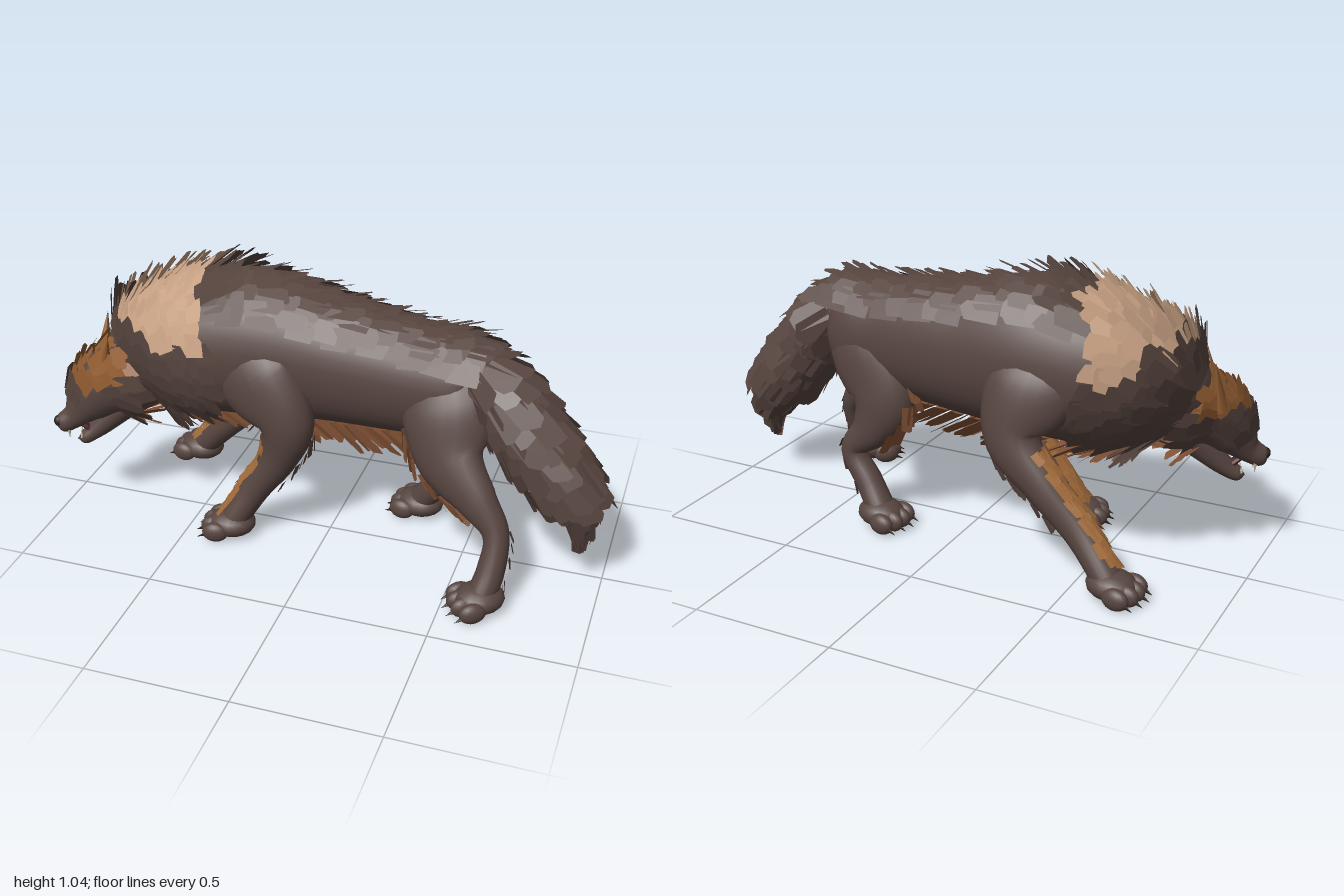
import * as THREE from 'three';

const paint = (name, color, side = THREE.FrontSide) => {
  const m = new THREE.MeshStandardMaterial({ color, side });
  m.name = name;
  return m;
};
const mats = {
  brown: paint('brown hide', 0x574540),
  fur: paint('brown fur', 0x56443e, THREE.DoubleSide),
  tan: paint('tan fur', 0xcba486, THREE.DoubleSide),
  orange: paint('orange fur', 0x8f5b30, THREE.DoubleSide),
  amber: paint('amber fur', 0xa06a3a, THREE.DoubleSide),
  russet: paint('russet fur', 0x845336, THREE.DoubleSide),
  dark: paint('dark claw', 0x2b2220),
  mouth: paint('mouth red', 0x4c2623),
  ivory: paint('ivory tooth', 0xcfc2a8),
};

let seed = 7;
const jit = (s) => ((seed = (seed * 16807) % 2147483647) / 2147483647 - 0.5) * 2 * s;
const V = (x, y, z) => new THREE.Vector3(x, y, z);

function add(parent, name, geo, mat) {
  const m = new THREE.Mesh(geo, mat);
  m.name = name;
  parent.add(m);
  return m;
}

// Smooth surface along a path of points, with [half width, half depth] at each
function surface(points, radii) {
  const path = new THREE.CatmullRomCurve3(points.map((p) => V(...p)));
  const size = new THREE.CatmullRomCurve3(radii.map((r) => V(...r, 0)), false, 'catmullrom', 0.5);
  const at = (v, a) => {
    const u = THREE.MathUtils.clamp(v, 0, 1);
    const c = path.getPoint(u), t = path.getTangent(u), r = size.getPoint(u);
    const side = V(0, 0, 1).addScaledVector(t, -t.z).normalize();
    const up = side.clone().cross(t);
    return c.addScaledVector(side, Math.max(r.x, 0.001) * Math.cos(a))
      .addScaledVector(up, Math.max(r.y, 0.001) * Math.sin(a));
  };
  const geometry = (rows, cols) => {
    const pos = [], idx = [];
    for (let i = 0; i <= rows; i++) {
      for (let j = 0; j < cols; j++) {
        pos.push(...at(i / rows, (j / cols) * Math.PI * 2).toArray());
        if (i === rows) continue;
        const a = i * cols + j, b = i * cols + ((j + 1) % cols);
        idx.push(a, a + cols, b, b, a + cols, b + cols);
      }
    }
    const g = new THREE.BufferGeometry();
    g.setAttribute('position', new THREE.Float32BufferAttribute(pos, 3));
    g.setIndex(idx);
    g.computeVertexNormals();
    return g;
  };
  return { at, geometry };
}

// Overlapping fur plates on a surface; angles in degrees, pick(point) names the colour
function fur(parent, name, s, { u: [u0, u1], a: [a0, a1], rows, cols, len, wide, lift, pick }) {
  const bucket = {};
  for (let i = 0; i < rows; i++) {
    for (let j = 0; j < cols; j++) {
      const u = u0 + ((u1 - u0) * (i + 0.5 + jit(0.3))) / rows;
      const a = THREE.MathUtils.degToRad(a0 + ((a1 - a0) * (j + 0.25 + (i % 2) * 0.5 + jit(0.2))) / cols);
      const p = s.at(u, a);
      const t = s.at(u + 0.012, a).sub(p).normalize();
      const w = s.at(u, a + 0.05).sub(p).normalize();
      const n = t.clone().cross(w).normalize();
      const dir = t.clone().addScaledVector(n, lift + jit(0.06)).addScaledVector(w, jit(0.12)).normalize();
      const l = len * (1 + jit(0.25)), h = (wide / 2) * (1 + jit(0.2));
      const q = (k, x) => p.clone().addScaledVector(n, 0.006).addScaledVector(dir, l * k).addScaledVector(w, h * x).toArray();
      const A = q(0, -1), B = q(0, 1), C = q(0.9 + jit(0.1), 0.9), D = q(1, jit(0.6)), E = q(0.88 + jit(0.1), -0.9);
      (bucket[pick(p)] ??= []).push(...A, ...C, ...B, ...A, ...E, ...C, ...E, ...D, ...C);
    }
  }
  for (const key in bucket) {
    const g = new THREE.BufferGeometry();
    g.setAttribute('position', new THREE.Float32BufferAttribute(bucket[key], 3));
    g.computeVertexNormals();
    add(parent, `${name} ${key}`, g, mats[key]);
  }
}

// Paw with four toes and claws, pointing to -x before it is turned
function paw(parent, x, z, yaw) {
  const g = new THREE.Group();
  g.name = 'paw';
  g.position.set(x, 0, z);
  g.rotation.y = yaw;
  const ball = new THREE.SphereGeometry(1, 16, 12);
  const pad = add(g, 'paw pad', ball, mats.brown);
  pad.scale.set(0.088, 0.05, 0.076);
  pad.position.set(0.018, 0.05, 0);
  for (let i = 0; i < 4; i++) {
    const k = i - 1.5, tx = -0.052 + Math.abs(k) * 0.014;
    const toe = add(g, 'toe', ball, mats.brown);
    toe.scale.set(0.048, 0.038, 0.027);
    toe.position.set(tx, 0.038, k * 0.042);
    const claw = add(g, 'claw', new THREE.ConeGeometry(0.009, 0.04, 6), mats.dark);
    claw.position.set(tx - 0.048, 0.022, k * 0.045);
    claw.rotation.z = Math.PI / 2 + 0.4;
  }
  parent.add(g);
}

export function createModel() {
  seed = 7;
  const wolf = new THREE.Group();
  wolf.name = 'wolf';
  const part = (name) => {
    const g = new THREE.Group();
    g.name = name;
    wolf.add(g);
    return g;
  };
  const brown = () => 'fur', russet = () => 'russet', amber = () => 'amber';

  // Trunk from neck to rump
  const body = part('body');
  const trunk = surface(
    [[-0.8, 0.55, 0.05], [-0.68, 0.62, 0], [-0.49, 0.665, -0.05], [-0.28, 0.685, -0.07],
      [0, 0.67, -0.065], [0.3, 0.66, -0.035], [0.5, 0.66, -0.015], [0.61, 0.66, 0]],
    [[0.06, 0.08], [0.165, 0.195], [0.205, 0.255], [0.21, 0.265], [0.185, 0.23], [0.16, 0.2], [0.135, 0.17], [0, 0]],
  );
  add(body, 'trunk', trunk.geometry(60, 32), mats.brown);
  const mane = (p) => {
    if (p.x > -0.83 && p.x < -0.51 && p.y > 0.67 + Math.abs(p.x + 0.62) * 0.5) return 'tan';
    return p.y < 0.43 ? 'russet' : 'fur';
  };
  fur(body, 'mane', trunk, { u: [0.07, 0.27], a: [-90, 270], rows: 8, cols: 24, len: 0.12, wide: 0.08, lift: 0.28, pick: mane });
  fur(body, 'mane crest', trunk, { u: [0.08, 0.36], a: [50, 130], rows: 10, cols: 8, len: 0.13, wide: 0.045, lift: 0.5, pick: mane });
  fur(body, 'chest fur', trunk, { u: [0.1, 0.34], a: [-120, -60], rows: 6, cols: 6, len: 0.1, wide: 0.05, lift: 0.5, pick: (p) => (p.x < -0.6 ? 'fur' : 'russet') });
  fur(body, 'back fur', trunk, { u: [0.29, 0.94], a: [38, 142], rows: 20, cols: 8, len: 0.12, wide: 0.07, lift: 0.13, pick: brown });
  fur(body, 'back ridge', trunk, { u: [0.33, 0.9], a: [75, 105], rows: 16, cols: 3, len: 0.12, wide: 0.03, lift: 0.38, pick: brown });
  fur(body, 'belly fur', trunk, { u: [0.38, 0.72], a: [-118, -62], rows: 11, cols: 6, len: 0.13, wide: 0.075, lift: 0.7, pick: russet });

  // Bushy tail, pointed at the end
  const tailGroup = part('tail');
  const tail = surface(
    [[0.42, 0.77, -0.02], [0.55, 0.72, 0], [0.66, 0.61, 0.02], [0.78, 0.47, 0.035], [0.87, 0.36, 0.045], [0.91, 0.26, 0.05], [0.915, 0.15, 0.06]],
    [[0.03, 0.03], [0.1, 0.085], [0.115, 0.11], [0.12, 0.115], [0.095, 0.09], [0.05, 0.05], [0, 0]],
  );
  add(tailGroup, 'tail core', tail.geometry(40, 24), mats.brown);
  fur(tailGroup, 'tail fur', tail, { u: [0.1, 0.66], a: [0, 360], rows: 9, cols: 12, len: 0.13, wide: 0.085, lift: 0.13, pick: brown });
  fur(tailGroup, 'tail tip fur', tail, { u: [0.66, 0.93], a: [0, 360], rows: 4, cols: 9, len: 0.08, wide: 0.04, lift: 0.08, pick: brown });

  // Head, turned a little to its left
  const head = part('head');
  const skull = surface(
    [[-0.99, 0.365, 0.19], [-0.975, 0.367, 0.18], [-0.93, 0.395, 0.157], [-0.885, 0.45, 0.132],
      [-0.82, 0.515, 0.1], [-0.74, 0.55, 0.06], [-0.62, 0.575, 0]],
    [[0, 0], [0.03, 0.034], [0.043, 0.047], [0.068, 0.085], [0.1, 0.118], [0.125, 0.135], [0, 0]],
  );
  add(head, 'skull', skull.geometry(40, 24), mats.brown);
  const jaw = surface(
    [[-0.925, 0.3, 0.158], [-0.905, 0.303, 0.148], [-0.86, 0.335, 0.125], [-0.76, 0.44, 0.075]],
    [[0, 0], [0.028, 0.024], [0.038, 0.034], [0.06, 0.06]],
  );
  add(head, 'lower jaw', jaw.geometry(20, 16), mats.brown);
  const tongue = add(head, 'tongue', new THREE.SphereGeometry(1, 12, 8), mats.mouth);
  tongue.scale.set(0.05, 0.012, 0.022);
  tongue.position.set(-0.885, 0.345, 0.137);
  tongue.rotation.set(0, 0.46, -0.65, 'YXZ');
  const nose = add(head, 'nose', new THREE.SphereGeometry(0.021, 12, 8), mats.dark);
  nose.position.set(-0.979, 0.38, 0.183);
  for (const s of [-1, 1]) {
    const off = (x, y, z, d) => V(x + 0.44 * d * s, y, z + 0.9 * d * s);
    add(head, 'upper fang', new THREE.ConeGeometry(0.007, 0.035, 6).rotateX(Math.PI), mats.ivory)
      .position.copy(off(-0.95, 0.334, 0.168, 0.022));
    add(head, 'lower fang', new THREE.ConeGeometry(0.006, 0.03, 6), mats.ivory)
      .position.copy(off(-0.91, 0.328, 0.15, 0.018));
    add(head, 'eye', new THREE.SphereGeometry(0.012, 10, 8), mats.dark)
      .position.copy(skull.at(0.5, s > 0 ? 0.45 : Math.PI - 0.45));
    const ear = add(head, 'ear', new THREE.ConeGeometry(0.05, 0.17, 8).scale(0.6, 1, 1), mats.orange);
    ear.position.copy(off(-0.82, 0.665, 0.075, 0.085));
    ear.rotation.set(s * 0.3, 0.46, -0.15, 'YXZ');
  }
  fur(head, 'face fur', skull, { u: [0.44, 0.88], a: [12, 168], rows: 9, cols: 9, len: 0.08, wide: 0.055, lift: 0.2, pick: (p) => (p.y > 0.52 ? 'orange' : 'fur') });
  fur(head, 'cheek fur', skull, { u: [0.65, 0.9], a: [165, 375], rows: 4, cols: 10, len: 0.1, wide: 0.06, lift: 0.3, pick: (p) => (p.y < 0.44 ? 'russet' : 'fur') });

  // Front legs in mid stride, from shoulder to paw
  const frontSize = [[0.02, 0.06], [0.085, 0.16], [0.076, 0.105], [0.06, 0.068], [0.054, 0.055], [0.056, 0.05]];
  const frontLeg = (name, points, foot) => {
    const g = part(name), limb = surface(points, frontSize);
    add(g, 'limb', limb.geometry(40, 20), mats.brown);
    paw(g, ...foot);
    fur(g, 'shin fur', limb, { u: [0.48, 0.93], a: [-125, -55], rows: 10, cols: 4, len: 0.06, wide: 0.035, lift: 0.1, pick: amber });
    fur(g, 'elbow fur', limb, { u: [0.42, 0.7], a: [75, 105], rows: 5, cols: 2, len: 0.06, wide: 0.03, lift: 0.25, pick: brown });
  };
  frontLeg('front left leg', [[-0.33, 0.82, 0.03], [-0.25, 0.65, 0.075], [-0.125, 0.49, 0.115],
    [-0.155, 0.34, 0.11], [-0.25, 0.19, 0.11], [-0.325, 0.06, 0.14]], [-0.35, 0.145, 0.15]);
  frontLeg('front right leg', [[-0.36, 0.82, -0.15], [-0.31, 0.65, -0.215], [-0.26, 0.47, -0.265],
    [-0.38, 0.33, -0.29], [-0.52, 0.19, -0.295], [-0.635, 0.06, -0.325]], [-0.665, -0.33, -0.15]);

  // Hind legs, from hip to paw
  const hindSize = [[0.02, 0.07], [0.085, 0.16], [0.073, 0.125], [0.056, 0.076], [0.048, 0.046], [0.05, 0.048], [0.055, 0.05]];
  const hindLeg = (name, points, foot) => {
    const g = part(name), limb = surface(points, hindSize);
    add(g, 'limb', limb.geometry(40, 20), mats.brown);
    paw(g, ...foot);
    fur(g, 'knee fur', limb, { u: [0.23, 0.48], a: [-115, -65], rows: 5, cols: 4, len: 0.08, wide: 0.045, lift: 0.2, pick: russet });
    fur(g, 'hock fur', limb, { u: [0.64, 0.92], a: [80, 100], rows: 6, cols: 1, len: 0.04, wide: 0.02, lift: 0.2, pick: brown });
  };
  hindLeg('hind left leg', [[0.41, 0.82, 0.02], [0.44, 0.63, 0.07], [0.47, 0.47, 0.135], [0.575, 0.36, 0.19],
    [0.655, 0.26, 0.22], [0.655, 0.14, 0.265], [0.635, 0.06, 0.3]], [0.615, 0.315, 0.6]);
  hindLeg('hind right leg', [[0.4, 0.82, -0.05], [0.38, 0.64, -0.1], [0.3, 0.47, -0.15], [0.34, 0.35, -0.165],
    [0.415, 0.26, -0.17], [0.35, 0.15, -0.18], [0.29, 0.06, -0.2]], [0.27, -0.205, -0.15]);

  return wolf;
}
